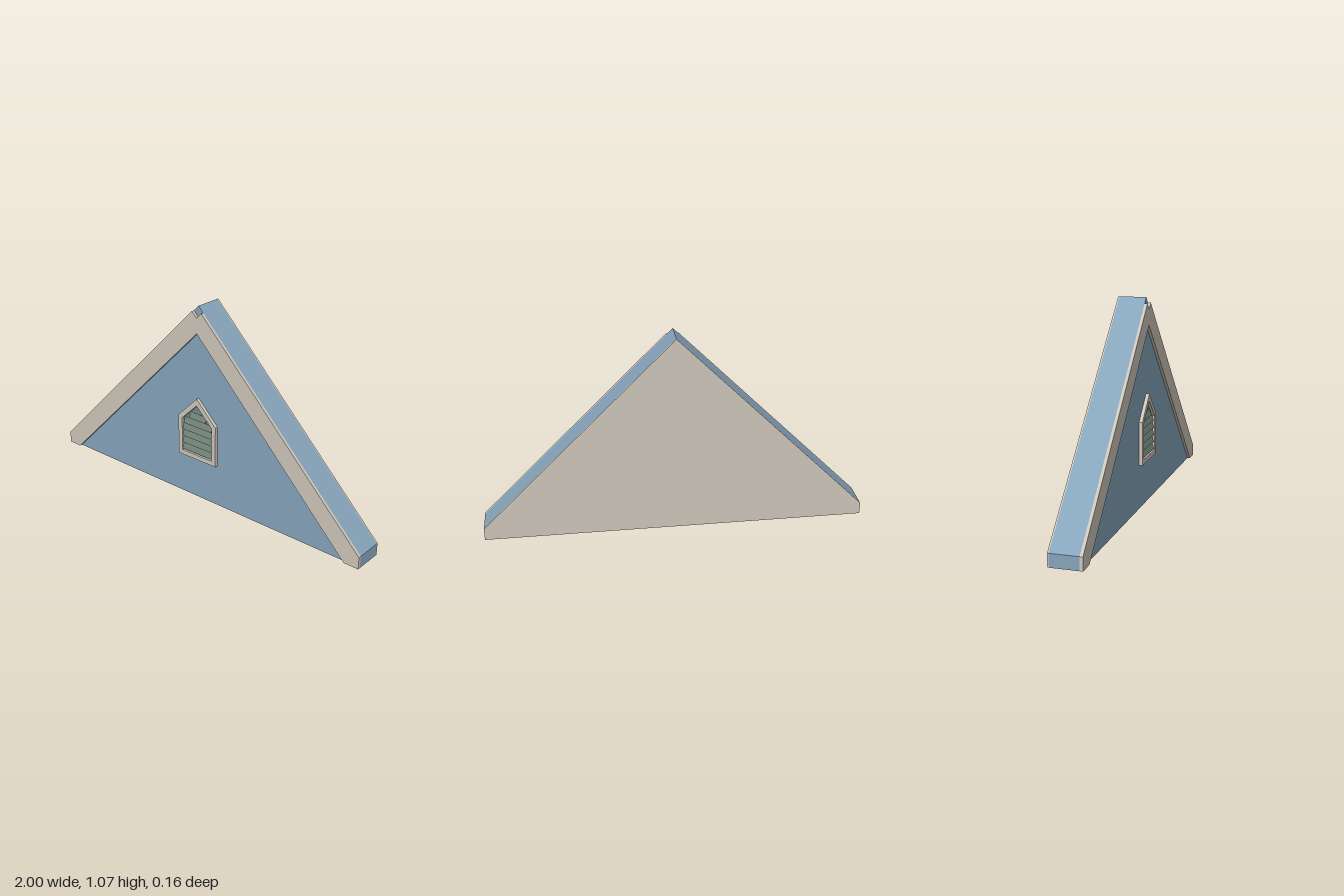
import * as THREE from 'three';

const material = (name, color) => {
  const m = new THREE.MeshStandardMaterial({ color });
  m.name = name;
  return m;
};

// Closed outline from [x, y] pairs
const outline = (pts, Kind = THREE.Shape) => new Kind(pts.map(([x, y]) => new THREE.Vector2(x, y)));

// Flat plate between two depths
function plate(name, shape, z0, z1, mat) {
  const geo = new THREE.ExtrudeGeometry(shape, { depth: z1 - z0, bevelEnabled: false });
  geo.translate(0, 0, z0);
  const mesh = new THREE.Mesh(geo, mat);
  mesh.name = name;
  return mesh;
}

// House-shaped outline: half width, bottom, eave and peak heights
const house = (w, bottom, eave, peak) => [[-w, bottom], [w, bottom], [w, eave], [0, peak], [-w, eave]];

export function createModel() {
  const blue = material('sidingBlue', 0x86a4bb);
  const cream = material('trimCream', 0xcdc6ba);
  const green = material('louvreGreen', 0x75877d);
  const group = new THREE.Group();
  group.name = 'gable';

  // Wall body and backing sheet
  const gable = outline(house(1, 0, 0.065, 1.065));
  group.add(plate('gableWall', gable, -0.075, 0.065, blue));
  group.add(plate('backPanel', gable, -0.082, -0.075, cream));

  // Sloping trim boards, notched at the peak
  for (const s of [-1, 1]) {
    const board = outline([[s, 0], [s, 0.065], [s * 0.03, 1.035], [0, 1.005], [0, 0.925], [s * 0.92, 0]]);
    group.add(plate(s > 0 ? 'leftTrimBoard' : 'rightTrimBoard', board, 0.065, 0.08, cream));
  }

  // Vent frame with its opening
  const vent = new THREE.Group();
  vent.name = 'vent';
  const opening = house(0.1, 0.255, 0.44, 0.537);
  const frame = outline(house(0.125, 0.23, 0.452, 0.575));
  frame.holes.push(outline(opening, THREE.Path));
  vent.add(plate('ventFrame', frame, 0.065, 0.083, cream));
  vent.add(plate('ventBacking', outline(opening), 0.065, 0.067, green));

  // Tilted louvre slats, narrowing under the peak
  for (let i = 0; i < 6; i++) {
    const y = 0.277 + i * 0.038;
    const half = Math.min(0.1, 0.522 - y);
    const slat = new THREE.Mesh(new THREE.BoxGeometry(half * 2, 0.034, 0.004), green);
    slat.position.set(0, y, 0.0725);
    slat.rotation.x = -0.28;
    slat.name = 'louvreSlat';
    vent.add(slat);
  }
  group.add(vent);
  return group;
}
